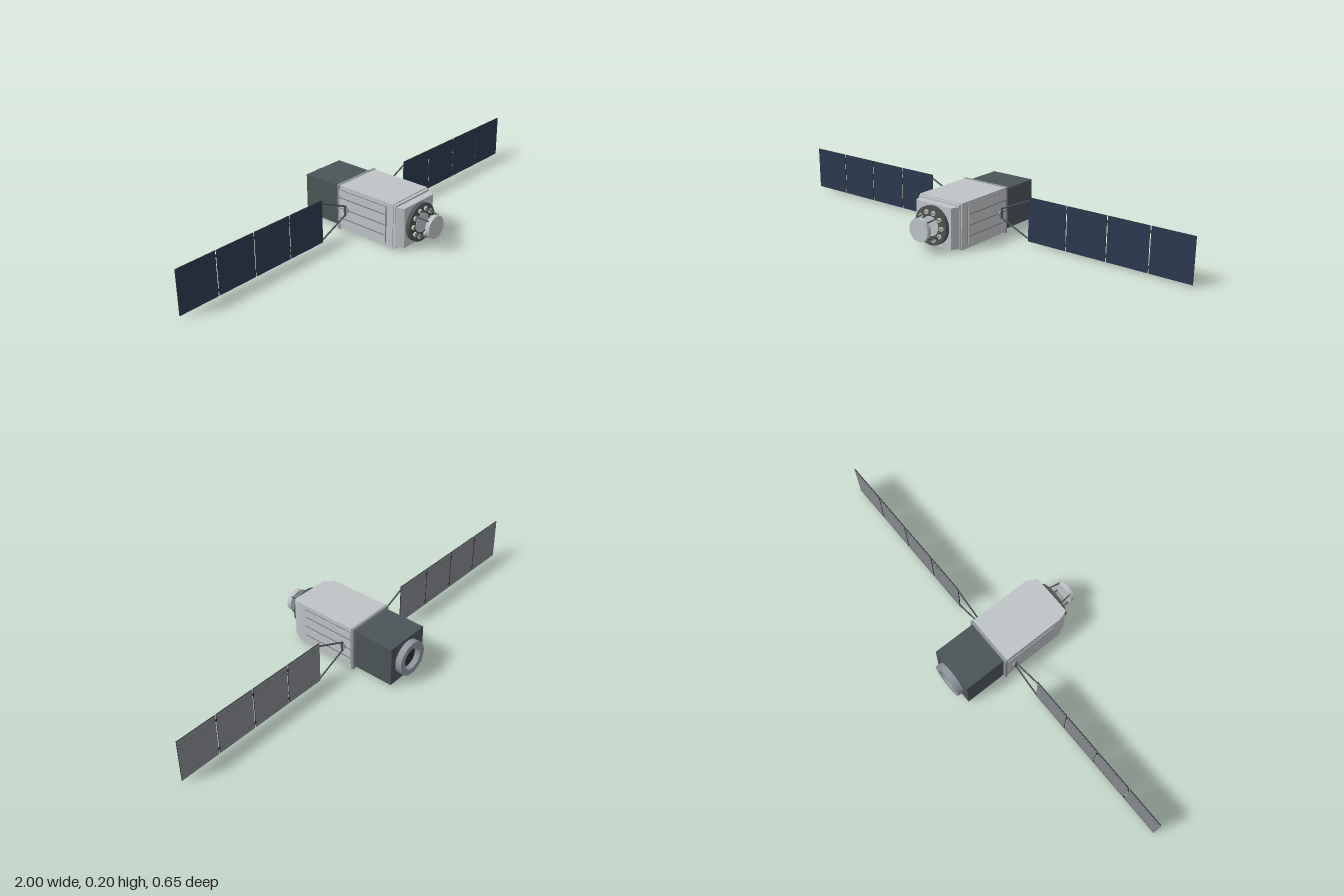
import * as THREE from 'three';

const CY = 0.102; // height of the long axis
const PZ = -0.057; // depth of the solar wings

function mat(name, color) {
  const m = new THREE.MeshStandardMaterial({ color });
  m.name = name;
  return m;
}

export function createModel() {
  const root = new THREE.Group();
  root.name = 'satellite';

  const hull = mat('light grey hull', 0xbfc3c7);
  const trim = mat('mid grey trim', 0x8f959e);
  const dark = mat('dark slate', 0x4b5457);
  const black = mat('charcoal', 0x2c3133);
  const line = mat('panel line grey', 0x72777c);
  const navy = mat('solar cell navy', 0x2b3a4f);
  const back = mat('solar back grey', 0x85888d);
  const cream = mat('nozzle cream', 0xcfccb4);

  const add = (parent, name, geo, material, x = 0, y = 0, z = 0) => {
    const m = new THREE.Mesh(geo, material);
    m.name = name;
    m.position.set(x, y, z);
    parent.add(m);
    return m;
  };
  // Box given by its extents
  const box = (parent, name, material, x0, x1, y0, y1, z0, z1) =>
    add(parent, name, new THREE.BoxGeometry(x1 - x0, y1 - y0, z1 - z0), material,
      (x0 + x1) / 2, (y0 + y1) / 2, (z0 + z1) / 2);
  // Cylinder lying along z
  const disc = (parent, name, material, r, z0, z1, x = 0, y = CY, seg = 40) =>
    add(parent, name, new THREE.CylinderGeometry(r, r, z1 - z0, seg).rotateX(Math.PI / 2),
      material, x, y, (z0 + z1) / 2);
  // Round rod between two points
  const rod = (parent, name, material, a, b, r) => {
    const d = b.clone().sub(a);
    const m = add(parent, name, new THREE.CylinderGeometry(r, r, d.length(), 8), material);
    m.position.copy(a).add(b).multiplyScalar(0.5);
    m.quaternion.setFromUnitVectors(new THREE.Vector3(0, 1, 0), d.normalize());
    return m;
  };

  // Main hull, stepped shoulder, rear flange and equipment bay
  box(root, 'mainBody', hull, -0.111, 0.111, 0.004, 0.202, -0.098, 0.19);
  box(root, 'shoulder', hull, -0.108, 0.108, 0.007, 0.198, 0.19, 0.202);
  box(root, 'rearFlange', trim, -0.115, 0.115, 0, 0.204, -0.107, -0.096);
  box(root, 'equipmentBay', dark, -0.103, 0.103, 0.013, 0.192, -0.297, -0.107);

  // Nose narrowing sideways only
  const nose = new THREE.Shape([
    new THREE.Vector2(-0.107, -0.202), new THREE.Vector2(-0.092, -0.235),
    new THREE.Vector2(0.092, -0.235), new THREE.Vector2(0.107, -0.202),
  ]);
  add(root, 'nose', new THREE.ExtrudeGeometry(nose, { depth: 0.176, bevelEnabled: false })
    .rotateX(-Math.PI / 2), hull, 0, 0.014, 0);

  // Side panels with outline and raised ribs
  for (const s of [-1, 1]) {
    const side = new THREE.Group();
    side.name = s > 0 ? 'leftSidePanel' : 'rightSidePanel';
    root.add(side);
    const slab = (name, m, y0, y1, z0, z1, top) =>
      box(side, name, m, Math.min(s * 0.11, s * top), Math.max(s * 0.11, s * top), y0, y1, z0, z1);
    slab('panelEdge', line, 0.022, 0.183, -0.097, 0.156, 0.114);
    slab('panelFace', hull, 0.0235, 0.1815, -0.096, 0.1545, 0.116);
    for (const y of [0.056, 0.102, 0.149]) slab('rib', line, y - 0.0015, y + 0.0015, -0.095, 0.15, 0.118);
  }

  // Docking ring at the rear, hollow with a dark floor
  const ring = [[0.044, 0], [0.076, 0], [0.076, 0], [0.076, 0.028], [0.076, 0.028],
    [0.05, 0.028], [0.05, 0.028], [0.044, 0.004]].map(p => new THREE.Vector2(...p));
  const rearRing = add(root, 'rearRing', new THREE.LatheGeometry(ring, 40).rotateX(-Math.PI / 2),
    trim, 0, CY, -0.297);
  rearRing.material.side = THREE.DoubleSide;
  disc(root, 'rearRingFloor', black, 0.046, -0.303, -0.297);

  // Thruster plate with a circle of nozzles
  disc(root, 'thrusterPlate', dark, 0.083, 0.235, 0.253);
  for (let i = 0; i < 10; i++) {
    const a = (i * Math.PI) / 5;
    const x = 0.06 * Math.cos(a), y = CY + 0.06 * Math.sin(a);
    disc(root, 'nozzle', cream, 0.0095, 0.252, 0.26, x, y, 16);
    disc(root, 'nozzleMouth', line, 0.005, 0.26, 0.2605, x, y, 12);
  }
  disc(root, 'thrusterHub', hull, 0.042, 0.252, 0.255);

  // Front dish on four converging struts
  disc(root, 'frontDish', hull, 0.049, 0.305, 0.325);
  for (const sx of [-1, 1]) for (const sy of [-1, 1]) {
    rod(root, 'dishStrut', dark, new THREE.Vector3(sx * 0.045, CY + sy * 0.046, 0.235),
      new THREE.Vector3(sx * 0.034, CY + sy * 0.034, 0.312), 0.003);
  }

  // Solar wings
  const W = 0.18, GAP = 0.006, X0 = 0.262, Y0 = 0.009, Y1 = 0.199;
  const faces = [black, black, black, black, navy, back];
  for (const s of [-1, 1]) {
    const wing = new THREE.Group();
    wing.name = s > 0 ? 'leftWing' : 'rightWing';
    root.add(wing);

    // Drive joint and yoke
    add(wing, 'driveJoint', new THREE.CylinderGeometry(0.0135, 0.0135, 0.012, 24)
      .rotateZ(Math.PI / 2), trim, s * 0.117, CY, PZ);
    box(wing, 'yokeBase', dark, s * 0.123 - 0.003, s * 0.123 + 0.003, CY - 0.022, CY + 0.022, PZ - 0.004, PZ + 0.004);
    for (const v of [-1, 1]) {
      rod(wing, 'yokeArm', dark, new THREE.Vector3(s * 0.122, CY + v * 0.02, PZ),
        new THREE.Vector3(s * 0.264, CY + v * 0.083, PZ), 0.0035);
    }

    for (let i = 0; i < 4; i++) {
      const cx = s * (X0 + i * (W + GAP) + W / 2);
      add(wing, 'solarPanel', new THREE.BoxGeometry(W, Y1 - Y0, 0.004), faces, cx, (Y0 + Y1) / 2, PZ);
      // Dashed seams on the back
      for (const y of [Y0 + 0.024, Y1 - 0.024]) for (let k = 0; k < 8; k++) {
        const x = cx + (k - 3.5) * 0.022;
        box(wing, 'backSeam', dark, x - 0.006, x + 0.006, y - 0.001, y + 0.001, PZ - 0.0026, PZ - 0.0015);
      }
      // Hinges to the next panel
      if (i < 3) for (const y of [Y0 + 0.024, Y1 - 0.024]) {
        const x = cx + s * (W + GAP) / 2;
        box(wing, 'hinge', black, x - 0.005, x + 0.005, y - 0.005, y + 0.005, PZ - 0.003, PZ + 0.0015);
      }
    }
  }
  return root;
}
